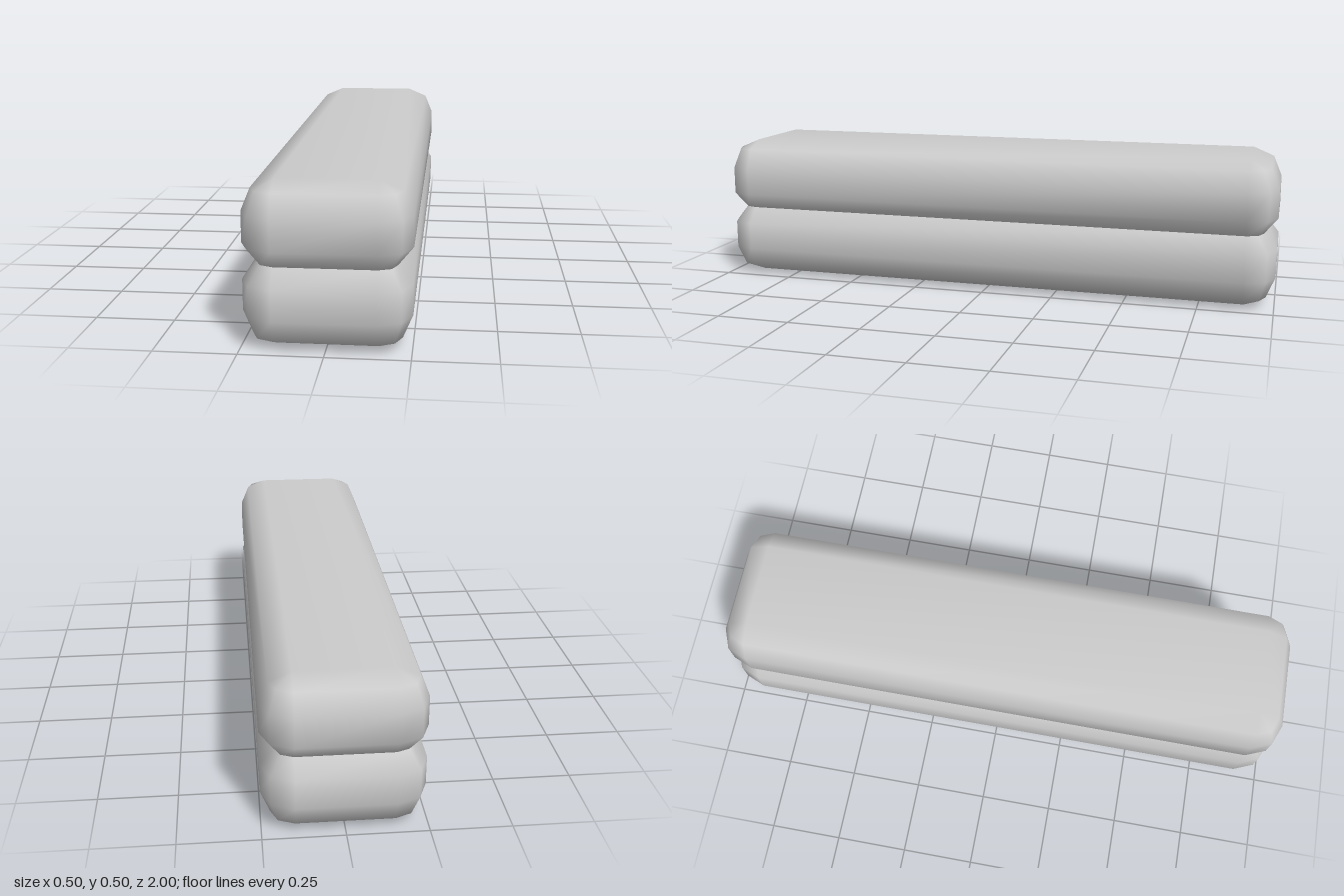
import * as THREE from 'three';
import { mergeVertices } from 'three/addons/utils/BufferGeometryUtils.js';

const CORNER_X = 0.15, CORNER_Z = 0.9, SEGS = 2; // corner centres and bevel steps
const N = 4 * (SEGS + 1);

// Half profile from the outer flat face to the groove: [height, corner radius]
const profile = [[0, 0], [0.03, 0.0707], [0.1, 0.1], [0.195, 0.1], [0.25, 0.055]];

// Rounded rectangle around the four corner centres
function addRing(positions, y, r) {
  for (let c = 0; c < 4; c++) {
    const sx = c === 0 || c === 3 ? 1 : -1, sz = c < 2 ? 1 : -1;
    for (let s = 0; s <= SEGS; s++) {
      const a = (c + s / SEGS) * Math.PI / 2;
      positions.push(sx * CORNER_X + r * Math.cos(a), y, sz * CORNER_Z + r * Math.sin(a));
    }
  }
}

// Loft the rings, close the flat end, and weld for smooth normals
function slabGeometry(rings, capTop) {
  const positions = [], index = [];
  rings.forEach(([y, r]) => addRing(positions, y, r));
  for (let i = 0; i < rings.length - 1; i++) {
    for (let j = 0; j < N; j++) {
      const k = (j + 1) % N;
      const a = i * N + j, b = i * N + k, c = a + N, d = b + N;
      index.push(a, c, b, b, c, d);
    }
  }
  const [p, q, r, s] = [0, 1, 2, 3].map(c => (capTop ? (rings.length - 1) * N : 0) + c * (SEGS + 1));
  index.push(...(capTop ? [p, r, q, p, s, r] : [p, q, r, p, r, s]));

  let geo = new THREE.BufferGeometry();
  geo.setAttribute('position', new THREE.Float32BufferAttribute(positions, 3));
  geo.setIndex(index);
  geo = mergeVertices(geo, 1e-5);
  // Drop triangles collapsed at the sharp cap corners
  const old = geo.index.array, kept = [];
  for (let i = 0; i < old.length; i += 3) {
    const [a, b, c] = [old[i], old[i + 1], old[i + 2]];
    if (a !== b && b !== c && c !== a) kept.push(a, b, c);
  }
  geo.setIndex(kept);
  geo.computeVertexNormals();
  return geo;
}

export function createModel() {
  const group = new THREE.Group();
  group.name = 'stackedSlabs';
  const material = new THREE.MeshStandardMaterial({ color: 0xcccccc });

  // Lower slab, and its mirror image resting on it
  const lower = new THREE.Mesh(slabGeometry(profile, false), material);
  lower.name = 'lowerSlab';
  const mirrored = profile.map(([y, r]) => [0.5 - y, r]).reverse();
  const upper = new THREE.Mesh(slabGeometry(mirrored, true), material);
  upper.name = 'upperSlab';

  group.add(lower, upper);
  return group;
}
